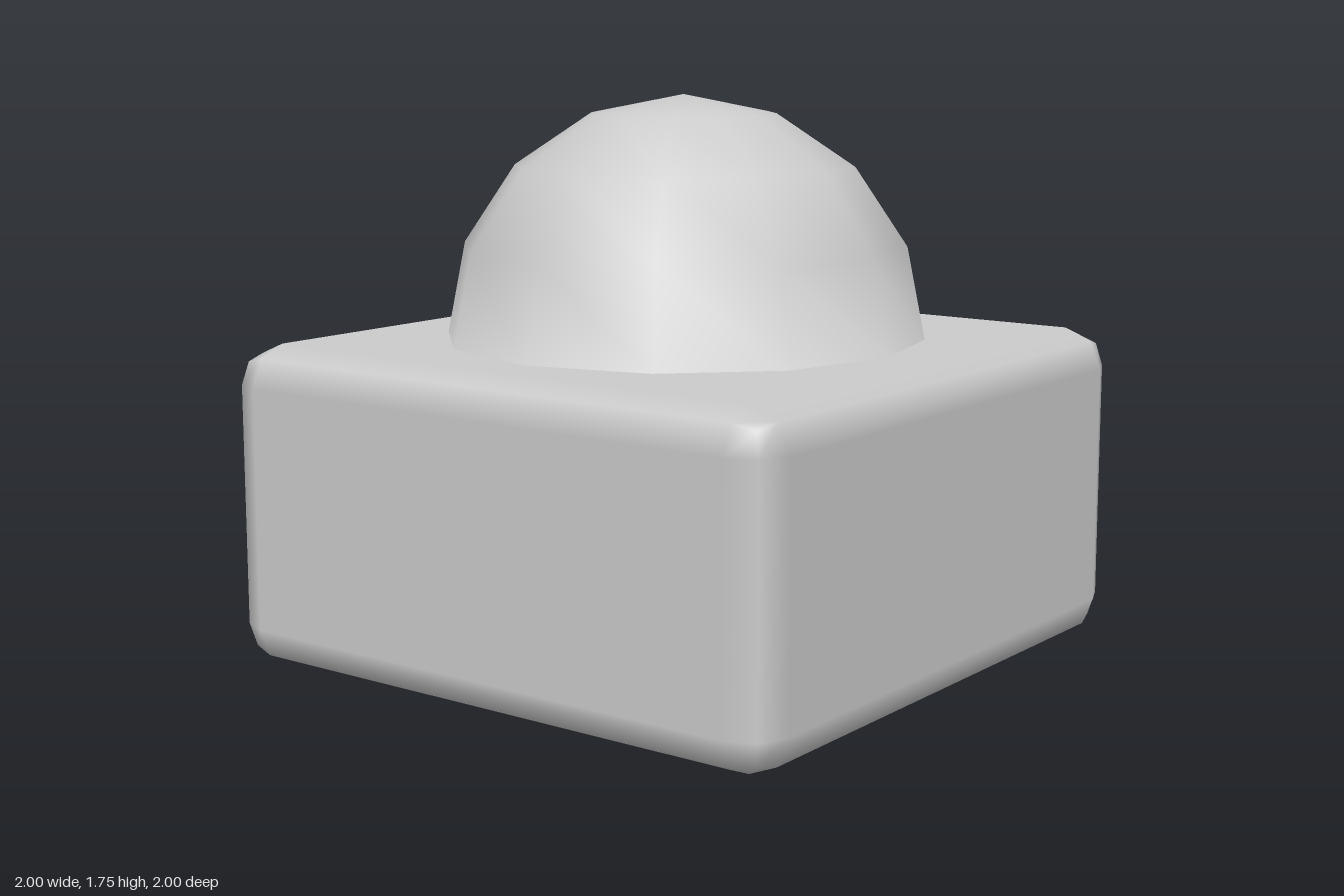
import * as THREE from 'three';
import { RoundedBoxGeometry } from 'three/addons/geometries/RoundedBoxGeometry.js';

const RADIUS = 0.75, SIDES = 12, RINGS = 4;

// Hemisphere whose rim normals lean upward, blending softly into the base
function domeGeometry() {
  const geometry = new THREE.SphereGeometry(RADIUS, SIDES, RINGS, 0, Math.PI * 2, 0, Math.PI / 2);
  const { position, normal } = geometry.attributes;
  const n = new THREE.Vector3();
  for (let i = RINGS * (SIDES + 1); i < position.count; i++) {
    n.set(position.getX(i), RADIUS, position.getZ(i)).normalize();
    normal.setXYZ(i, n.x, n.y, n.z);
  }
  return geometry;
}

export function createModel() {
  const group = new THREE.Group();
  const material = new THREE.MeshStandardMaterial({ color: 0xcccccc });

  // Square block with two-step rounded edges
  const base = new THREE.Mesh(new RoundedBoxGeometry(2, 1, 2, 1, 0.125), material);
  base.name = 'base';
  base.position.y = 0.5;

  // Twelve-sided dome resting on the block
  const dome = new THREE.Mesh(domeGeometry(), material);
  dome.name = 'dome';
  dome.position.y = 1;

  group.add(base, dome);
  return group;
}
